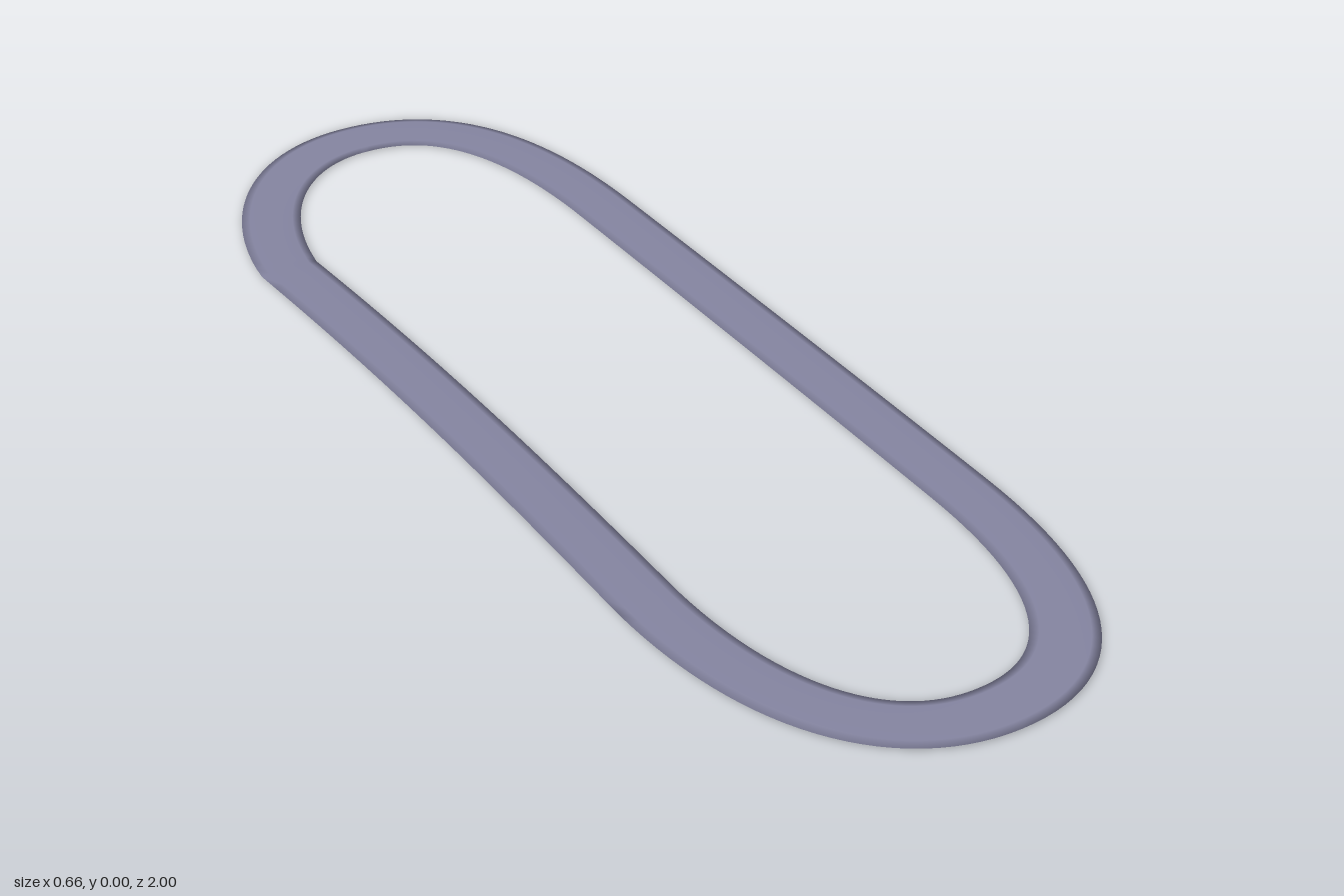
import * as THREE from 'three';

export function createModel() {
  const group = new THREE.Group();
  const v = (x, z) => new THREE.Vector2(x, z);

  // Centre line of the loop: start, then two handles and an end for each span (x, z)
  const spans = [
    [-0.26, -0.8, -0.14, -0.952, 0.01, -0.952],
    [0.18, -0.952, 0.268, -0.8, 0.27, -0.5],
    [0.274, -0.2, 0.278, 0.2, 0.278, 0.5],
    [0.278, 0.8, 0.18, 0.946, 0.01, 0.946],
    [-0.15, 0.946, -0.263, 0.8, -0.265, 0.5],
    [-0.258, 0.1, -0.258, -0.2, -0.285, -0.6],
  ];
  const points = [];
  let start = v(-0.285, -0.6);
  for (const [a, b, c, d, e, f] of spans) {
    const curve = new THREE.CubicBezierCurve(start, v(a, b), v(c, d), v(e, f));
    points.push(...curve.getPoints(28).slice(0, -1));
    start = v(e, f);
  }

  // Thin section with bevelled rims: outward offset, height
  const section = [
    [0.05, 0.0025], [0.036, 0.005], [-0.036, 0.005],
    [-0.05, 0.0025], [-0.036, 0], [0.036, 0],
  ];
  const n = points.length, m = section.length;
  const positions = [], index = [];
  points.forEach((p, i) => {
    const t = points[(i + 1) % n].clone().sub(points[(i + n - 1) % n]).normalize();
    section.forEach(([offset, y], j) => {
      positions.push(p.x + t.y * offset, y, p.y - t.x * offset);
      const k = (j + 1) % m, next = ((i + 1) % n) * m;
      const a = i * m + j, b = i * m + k, c = next + k, d = next + j;
      index.push(a, b, d, b, c, d);
    });
  });

  const geometry = new THREE.BufferGeometry();
  geometry.setAttribute('position', new THREE.Float32BufferAttribute(positions, 3));
  geometry.setIndex(index);
  geometry.computeVertexNormals();

  const band = new THREE.Mesh(geometry, new THREE.MeshStandardMaterial({
    color: 0x8484a0, side: THREE.DoubleSide,
  }));
  band.name = 'loopBand';
  group.add(band);
  return group;
}
